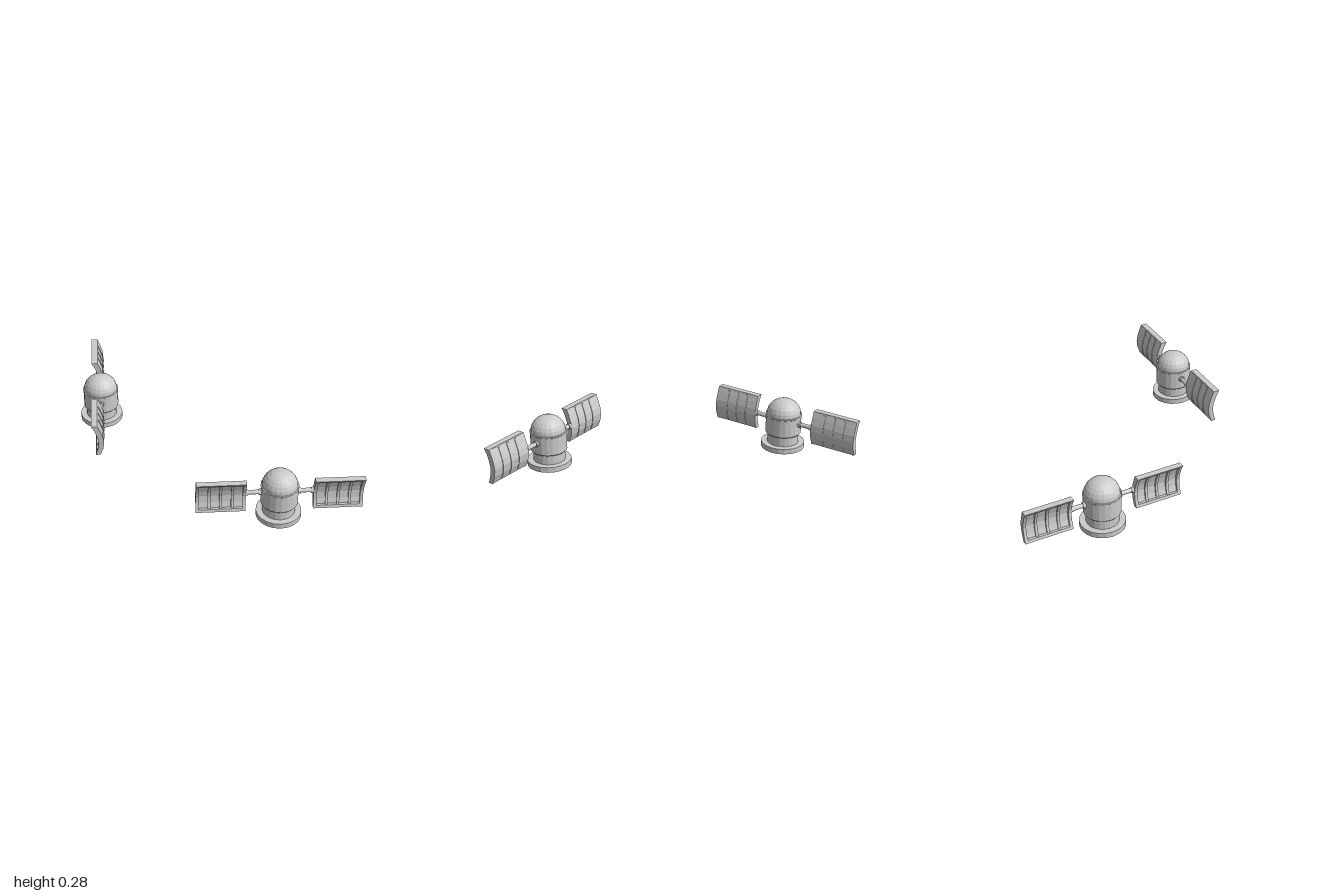
import * as THREE from 'three';

const material = new THREE.MeshStandardMaterial({ color: 0xcccccc, flatShading: true });
const SIDES = 20, ARM_Y = 0.154, PANEL_IN = 0.178, PANEL_OUT = 0.44;

// Curved panel section: height, concave front depth, convex back depth
const SECTION = [
  [0.248, 0.052, 0.016], [0.215, 0.034, 0.003], [0.175, 0.02, -0.01],
  [0.14, 0.014, -0.015], [0.1, 0.019, -0.01], [0.055, 0.034, 0.007],
];

function add(parent, name, geometry) {
  const mesh = new THREE.Mesh(geometry, material);
  mesh.name = name;
  parent.add(mesh);
  return mesh;
}

function depthAt(y, column) {
  const i = Math.max(1, SECTION.findIndex((s) => s[0] <= y + 1e-6));
  const a = SECTION[i - 1], b = SECTION[i];
  return THREE.MathUtils.mapLinear(y, a[0], b[0], a[column], b[column]);
}

// Slice of the curved section, extruded along x
function curvedSlab(width, x, top, bottom, frontInset, backGrow) {
  const middle = SECTION.map((s) => s[0]).filter((y) => y < top - 1e-4 && y > bottom + 1e-4);
  const heights = [top, ...middle, bottom];
  const front = heights.map((y) => new THREE.Vector2(depthAt(y, 1) - frontInset, y));
  const back = heights.map((y) => new THREE.Vector2(depthAt(y, 2) - backGrow, y)).reverse();
  const geometry = new THREE.ExtrudeGeometry(new THREE.Shape([...front, ...back]), {
    depth: width, bevelEnabled: false,
  });
  return geometry.translate(0, 0, -width / 2).rotateY(-Math.PI / 2).translate(x, 0, 0);
}

function createPanel(side) {
  const panel = new THREE.Group();
  panel.name = 'panel';
  const width = PANEL_OUT - PANEL_IN;
  const centre = side * (PANEL_IN + PANEL_OUT) / 2;
  const top = 0.248, bottom = 0.055;

  add(panel, 'panelSkin', curvedSlab(width - 0.004, centre, top - 0.002, bottom + 0.002, 0.014, 0));
  add(panel, 'topRail', curvedSlab(width - 0.002, centre, top, 0.234, 0, -0.002));
  add(panel, 'bottomRail', curvedSlab(width - 0.002, centre, 0.07, bottom, 0, -0.002));
  for (const end of [-1, 1]) {
    add(panel, 'endRail', curvedSlab(0.016, centre + end * (width / 2 - 0.008), top, bottom, 0, 0));
  }
  // Upright ribs dividing the recess into four bays
  for (let i = -1; i <= 1; i++) {
    add(panel, 'rib', curvedSlab(0.014, centre + i * 0.061, 0.24, 0.065, 0.005, 0.003));
  }
  return panel;
}

// Cylinder lying along x between two distances from the axis
function createRod(parent, name, side, from, to, radius) {
  const geometry = new THREE.CylinderGeometry(radius, radius, to - from, 12).rotateZ(Math.PI / 2);
  add(parent, name, geometry).position.set(side * (from + to) / 2, ARM_Y, 0);
}

function createTurret() {
  const turret = new THREE.Group();
  turret.name = 'turret';

  // Hollow foot, neck, drum and dome in one turned profile
  const profile = [
    [0, 0.15], [0.077, 0.15], [0.077, 0], [0.121, 0], [0.121, 0.03], [0.087, 0.03],
    [0.087, 0.086], [0.096, 0.086], [0.099, 0.09], [0.099, 0.189], [0.101, 0.191],
    [0.101, 0.197], [0.095, 0.199],
  ].map(([r, y]) => new THREE.Vector2(r, y));
  for (let i = 1; i <= 6; i++) {
    const a = (i / 6) * Math.PI / 2;
    profile.push(new THREE.Vector2(i === 6 ? 0 : 0.095 * Math.cos(a), 0.199 + 0.085 * Math.sin(a)));
  }
  add(turret, 'body', new THREE.LatheGeometry(profile, SIDES));

  for (const side of [-1, 1]) {
    createRod(turret, 'arm', side, 0.085, 0.195, 0.012);
    createRod(turret, 'bodyCollar', side, 0.09, 0.11, 0.017);
    createRod(turret, 'panelCollar', side, 0.165, 0.18, 0.016);
    turret.add(createPanel(side));
  }
  return turret;
}

export function createModel() {
  const model = new THREE.Group();
  model.name = 'turretPair';
  // Two turrets turned outwards, concave panel faces to the front
  for (const side of [-1, 1]) {
    const turret = createTurret();
    turret.position.set(side * 0.655, 0, -0.01);
    turret.rotation.y = side * Math.PI / 4;
    model.add(turret);
  }
  return model;
}
